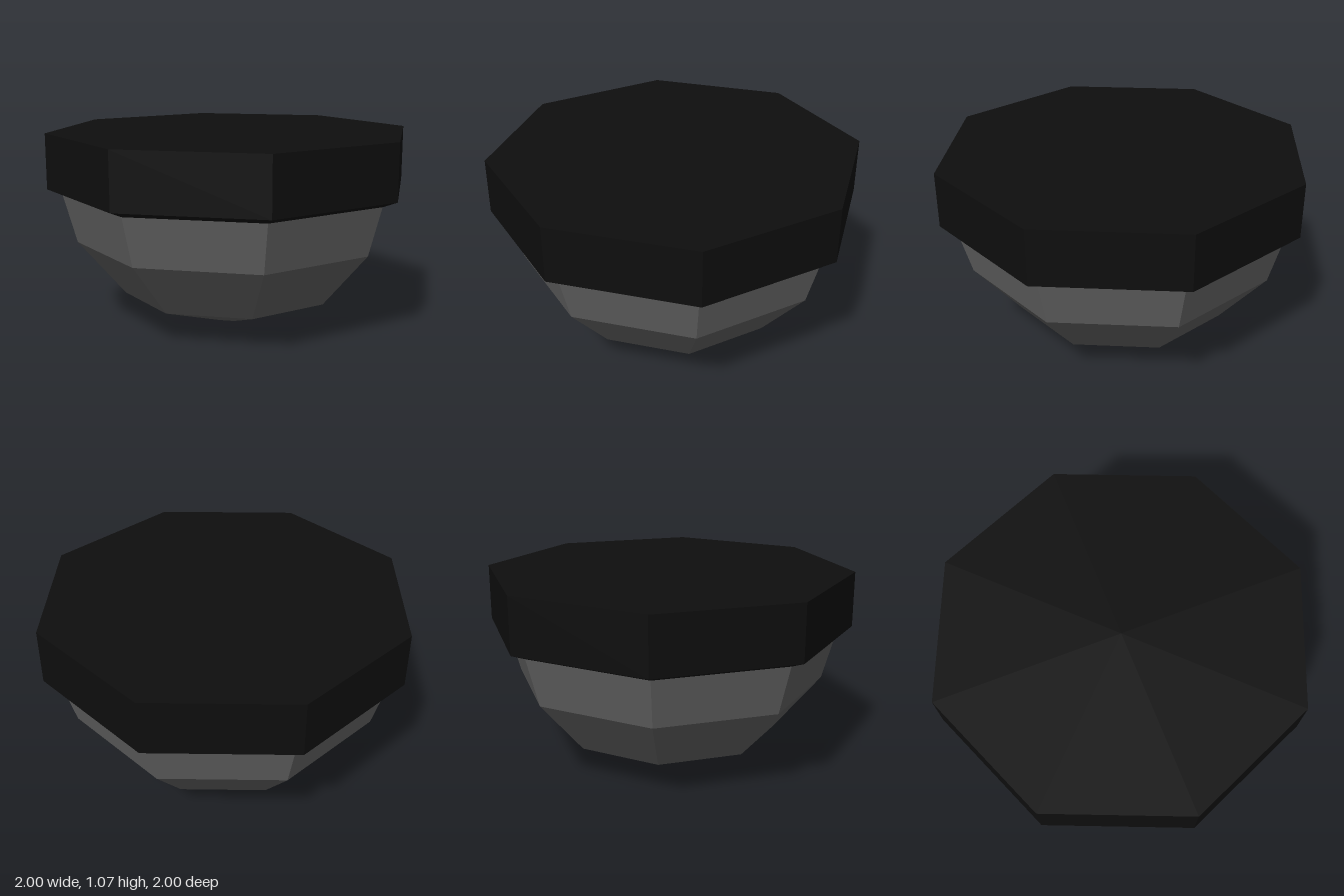
import * as THREE from 'three';

const SIDES = 8;

// Faceted solid of revolution from [radius, height] pairs, listed bottom to top
function facetedLathe(name, profile, material) {
  const points = profile.map(([r, y]) => new THREE.Vector2(r, y));
  const geometry = new THREE.LatheGeometry(points, SIDES).toNonIndexed();
  geometry.computeVertexNormals();
  const mesh = new THREE.Mesh(geometry, material);
  mesh.name = name;
  return mesh;
}

export function createModel() {
  const black = new THREE.MeshStandardMaterial({ name: 'rim black', color: 0x0e0e0e });
  const grey = new THREE.MeshStandardMaterial({ name: 'dome grey', color: 0x636363 });

  const group = new THREE.Group();
  group.name = 'domeFixture';

  // Rounded lower dome with a small flat tip
  group.add(facetedLathe('dome', [
    [0, 0], [0.11, 0], [0.594, 0.168], [0.848, 0.468], [0.92, 0.733],
  ], grey));

  // Thick mounting rim with a bevelled lower edge and a flat top
  group.add(facetedLathe('rim', [
    [0.92, 0.733], [1, 0.765], [1, 1.065], [0, 1.065],
  ], black));

  return group;
}
